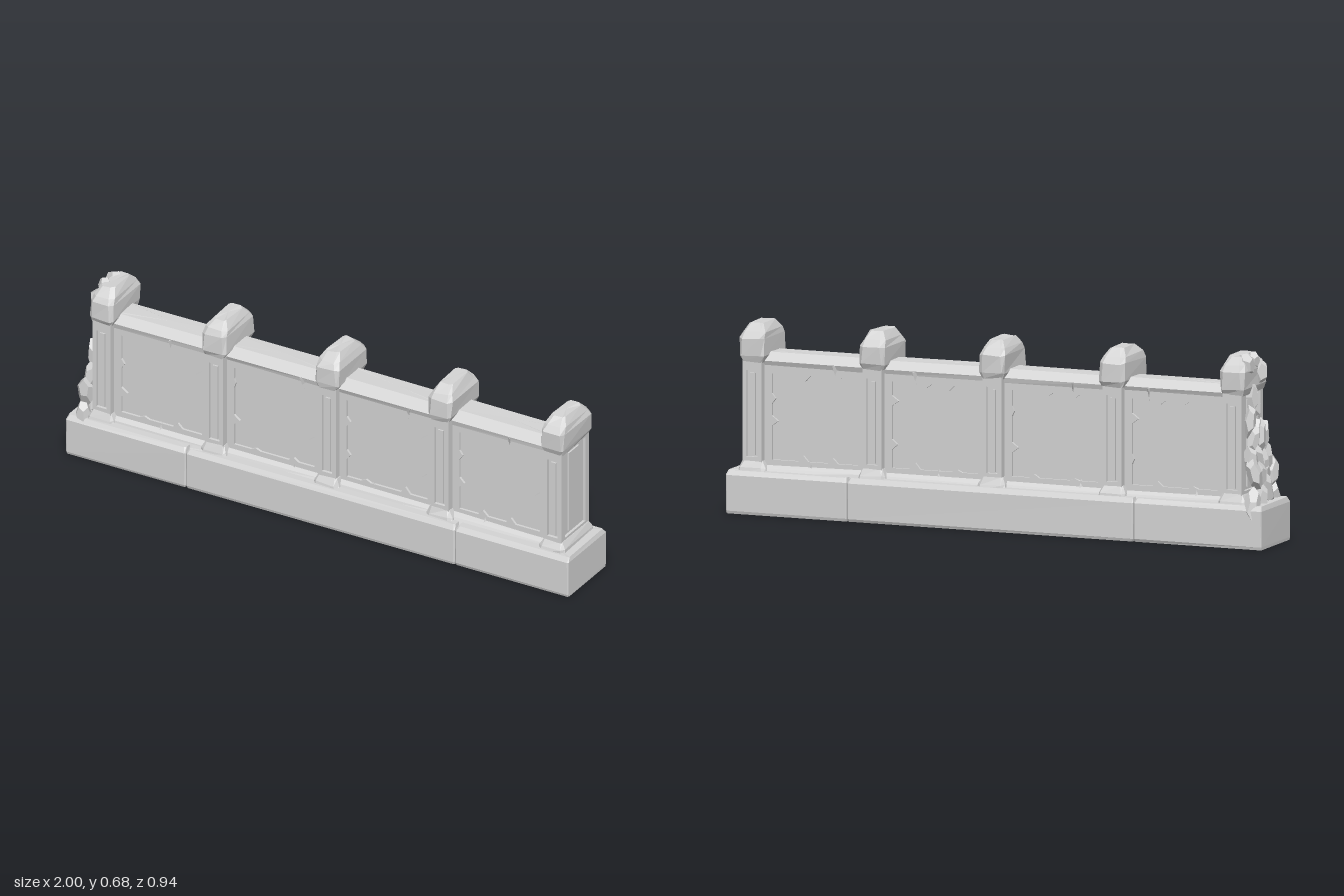
import * as THREE from 'three';

export function createModel() {
  const model = new THREE.Group();
  model.name = 'stoneWall';
  const wall = new THREE.Group();
  wall.name = 'wallRun';
  wall.rotation.y = -THREE.MathUtils.degToRad(19.9); // the run stands diagonally
  model.add(wall);

  const stone = new THREE.MeshStandardMaterial({ color: 0xd4d4d4, flatShading: true });
  stone.name = 'grey stone';

  let seed = 11;
  const rand = () => (seed = (seed * 16807) % 2147483647) / 2147483647;
  const jit = (s) => (rand() - 0.5) * 2 * s;

  const add = (parent, name, geometry, x = 0, y = 0, z = 0) => {
    const mesh = new THREE.Mesh(geometry, stone);
    mesh.name = name;
    mesh.position.set(x, y, z);
    parent.add(mesh);
    return mesh;
  };

  // Stack of chamfered rectangles; rows are [y, half length, half depth, chamfer]
  function hewn(rows, rough = 0) {
    const rings = rows.map(([y, a, b, c]) => [
      [a, -b + c], [a, b - c], [a - c, b], [-a + c, b],
      [-a, b - c], [-a, -b + c], [-a + c, -b], [a - c, -b],
    ].map(([x, z]) => [x + jit(rough), y + (y > 0 ? jit(rough) : 0), z + jit(rough)]));
    const pos = [];
    const tri = (...points) => points.forEach((p) => pos.push(...p));
    const last = rings.length - 1;
    for (let i = 0; i < 8; i++) {
      const j = (i + 1) % 8;
      for (let r = 0; r < last; r++) {
        const lo = rings[r], up = rings[r + 1];
        tri(lo[i], up[i], lo[j]);
        tri(up[i], up[j], lo[j]);
      }
      tri([0, rows[0][0], 0], rings[0][i], rings[0][j]);
      tri([0, rows[last][0], 0], rings[last][j], rings[last][i]);
    }
    const g = new THREE.BufferGeometry();
    g.setAttribute('position', new THREE.Float32BufferAttribute(pos, 3));
    g.computeVertexNormals();
    return g;
  }

  // Upright rectangular frame, its opening optionally nicked by broken edges
  function frame(half, y0, y1, holeHalf, h0, h1, depth, chips = 0) {
    const shape = new THREE.Shape([[-half, y0], [half, y0], [half, y1], [-half, y1]]
      .map((p) => new THREE.Vector2(...p)));
    const corners = [[-holeHalf, h0], [-holeHalf, h1], [holeHalf, h1], [holeHalf, h0]];
    const mid = (h0 + h1) / 2;
    const pts = [];
    corners.forEach(([x, y], i) => {
      const [x2, y2] = corners[(i + 1) % 4];
      pts.push(new THREE.Vector2(x, y));
      for (let k = 0; k < chips; k++) {
        const t = (k + 0.4 + rand() * 0.7) / (chips + 0.6);
        [[-0.06, 0], [0, 0.006 + rand() * 0.02], [0.06, 0]].forEach(([dt, inward]) => {
          const px = x + (x2 - x) * (t + dt), py = y + (y2 - y) * (t + dt);
          pts.push(i % 2 === 0
            ? new THREE.Vector2(px - Math.sign(x) * inward, py)
            : new THREE.Vector2(px, py + Math.sign(mid - y) * inward));
        });
      }
    });
    shape.holes.push(new THREE.Path(pts));
    const g = new THREE.ExtrudeGeometry(shape, { depth, bevelEnabled: false });
    return g.translate(0, 0, -depth / 2);
  }

  // Angular broken stone
  function shard(parent, name, x, y, z, sx, sy, sz) {
    const m = add(parent, name, new THREE.DodecahedronGeometry(1, 0), x, y, z);
    m.scale.set(sx, sy, sz);
    m.rotation.set(jit(0.3), jit(1.5), jit(0.25));
  }

  // Foundation blocks, meeting at narrow joints
  [[-1.015, -0.531], [-0.529, 0.555], [0.557, 1.015]].forEach(([u0, u1]) => {
    const h = (u1 - u0) / 2;
    add(wall, 'foundationBlock', hewn([
      [0, h - 0.001, 0.129, 0.005], [0.01, h, 0.133, 0.005],
      [0.136, h, 0.132, 0.005], [0.153, h - 0.006, 0.12, 0.006],
    ], 0.001), (u0 + u1) / 2);
  });

  const step = 0.455;
  const postU = [-2, -1, 0, 1, 2].map((k) => 0.02 + k * step);

  // Wall panels between the posts
  for (let i = 0; i < 4; i++) {
    const bay = new THREE.Group();
    bay.name = 'wallBay';
    bay.position.x = (postU[i] + postU[i + 1]) / 2;
    wall.add(bay);
    const h = step / 2 - 0.02;
    add(bay, 'recessedPanel', new THREE.BoxGeometry(h * 2, 0.38, 0.122), 0, 0.33, 0);
    add(bay, 'panelFrame', frame(h, 0.15, 0.53, 0.163, 0.19, 0.495, 0.14, 2));
    add(bay, 'coping', hewn([
      [0.52, h, 0.07, 0.004], [0.538, h, 0.076, 0.004], [0.565, h, 0.042, 0.004],
    ], 0.002));
    add(bay, 'footLedge', hewn([
      [0.14, h, 0.098, 0.005], [0.16, h, 0.086, 0.005], [0.174, h, 0.068, 0.004],
    ], 0.003));
    // Spalls hanging from the coping and lying on the ledge
    for (const side of [-1, 1]) {
      for (const [y, dir] of [[0.512, -1], [0.175, 1]]) {
        const c = add(bay, 'spall', new THREE.ConeGeometry(0.017, 0.045, 3),
          jit(0.12), y, side * 0.066);
        c.rotation.set(dir < 0 ? Math.PI : 0, rand() * 3, 0);
      }
    }
  }

  // Posts with recessed faces, feet and faceted caps
  postU.forEach((u, i) => {
    const post = new THREE.Group();
    post.name = 'post';
    post.position.x = u;
    wall.add(post);
    add(post, 'shaftCore', new THREE.BoxGeometry(0.052, 0.4, 0.17), 0, 0.35, 0);
    for (const s of [-1, 1]) {
      add(post, 'faceFrame', frame(0.036, 0.15, 0.55, 0.021, 0.2, 0.505, 0.014), 0, 0, s * 0.089);
      add(post, 'faceStrip', new THREE.BoxGeometry(0.02, 0.29, 0.01), 0, 0.35, s * 0.086);
      const side = add(post, 'sideFrame', frame(0.096, 0.15, 0.55, 0.07, 0.195, 0.53, 0.012), s * 0.03);
      side.rotation.y = Math.PI / 2;
      add(post, 'sideStrip', new THREE.BoxGeometry(0.01, 0.31, 0.07), s * 0.027, 0.36, 0);
    }
    add(post, 'foot', hewn([
      [0.14, 0.054, 0.114, 0.012], [0.162, 0.05, 0.109, 0.012], [0.186, 0.037, 0.097, 0.006],
    ], 0.003));
    add(post, 'cap', hewn([
      [0.535, 0.038, 0.097, 0.006], [0.556, 0.047, 0.105, 0.01],
      [0.618, 0.047, 0.105, 0.014], [0.64, 0.041, 0.09, 0.014],
      [0.667, 0.026, 0.06, 0.01],
    ], 0.003));
    if (i === 0) {
      // Broken top of the ruined end
      shard(post, 'brokenCapStone', -0.024, 0.635, -0.035, 0.032, 0.042, 0.045);
      shard(post, 'brokenCapStone', -0.035, 0.6, 0.05, 0.03, 0.05, 0.04);
      shard(post, 'brokenCapStone', -0.03, 0.645, 0.02, 0.025, 0.032, 0.03);
    }
  });

  // Rubble spilling down the ruined end, narrowing with height
  const ruin = new THREE.Group();
  ruin.name = 'ruinedEnd';
  wall.add(ruin);
  for (let r = 0; r < 6; r++) {
    const t = r / 5;
    const spread = 0.105 * (1 - t) + 0.025;
    const count = r < 4 ? 4 : 2;
    for (let k = 0; k < count; k++) {
      const z = ((k + 0.5) / count * 2 - 1) * spread + jit(0.008);
      shard(ruin, 'rubble', -0.968 + t * 0.042 + jit(0.008), 0.175 + t * 0.33 + jit(0.02), z,
        0.028 - t * 0.008, 0.05 + rand() * 0.025, 0.026 + rand() * 0.008);
    }
  }
  return model;
}
